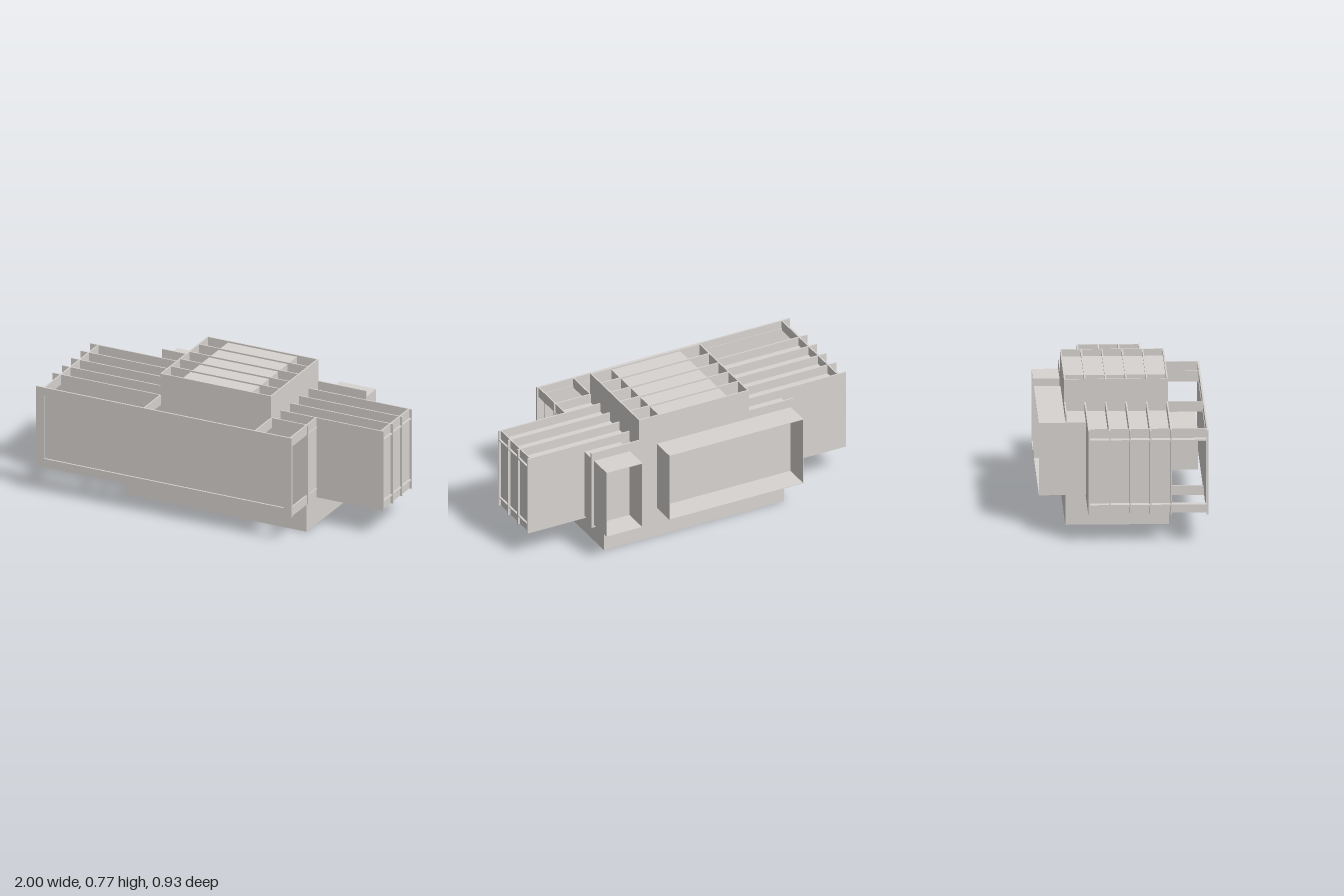
import * as THREE from 'three';

export function createModel() {
  const group = new THREE.Group();
  const grey = new THREE.MeshStandardMaterial({ color: 0xd8d4d1 });
  grey.name = 'warm grey';
  const T = 0.008; // sheet thickness
  const TOP = 0.645, BOT = 0.165, CEIL = 0.592, FLOOR = 0.214;

  function slab(name, x0, x1, y0, y1, z0, z1) {
    const m = new THREE.Mesh(new THREE.BoxGeometry(x1 - x0, y1 - y0, z1 - z0), grey);
    m.position.set((x0 + x1) / 2, (y0 + y1) / 2, (z0 + z1) / 2);
    m.name = name;
    group.add(m);
  }
  // thin sheets facing x, y or z, centred on the given coordinate
  const wallX = (n, x, y0, y1, z0, z1) => slab(n, x - T / 2, x + T / 2, y0, y1, z0, z1);
  const wallY = (n, y, x0, x1, z0, z1) => slab(n, x0, x1, y - T / 2, y + T / 2, z0, z1);
  const wallZ = (n, z, x0, x1, y0, y1) => slab(n, x0, x1, y0, y1, z - T / 2, z + T / 2);

  // front facade: frame with a shallow recessed panel
  const frame = new THREE.Shape();
  frame.moveTo(-1, BOT).lineTo(0.59, BOT).lineTo(0.59, TOP).lineTo(-1, TOP).closePath();
  const hole = new THREE.Path();
  hole.moveTo(-0.95, 0.215).lineTo(-0.95, 0.595).lineTo(0.54, 0.595).lineTo(0.54, 0.215).closePath();
  frame.holes.push(hole);
  const facade = new THREE.Mesh(
    new THREE.ExtrudeGeometry(frame, { depth: 0.01, bevelEnabled: false }), grey);
  facade.position.z = 0.452;
  facade.name = 'facadeFrame';
  group.add(facade);
  slab('facadePanel', -0.955, 0.545, 0.21, 0.6, 0.449, 0.452);

  // lengthwise fins of the main body
  wallZ('bodyFrontFin', 0.255, -1, 0.59, BOT, TOP);
  const fins = [0.141, 0.028, -0.085, -0.2];
  fins.forEach(z => wallZ('bodyFin', z, -1, 1, BOT, TOP));

  // slot floors, ceilings and end walls between the fins
  for (const y of [CEIL - T / 2, FLOOR + T / 2]) {
    wallY('bodyDeck', y, -0.998, 0.998, -0.2, 0.141);
    wallY('frontBayDeck', y, -0.998, 0.588, 0.141, 0.255);
    wallY('facadeEndLedge', y, -1, -0.95, 0.255, 0.455);
  }
  wallX('bodyEndWall', -0.95, BOT, TOP, -0.2, 0.255);
  wallX('bodyEndWall', 0.982, BOT, TOP, -0.2, 0.141);
  wallX('frontBayEndWall', 0.578, BOT, TOP, 0.141, 0.255);

  // webs that tie the facade to the body
  for (const x of [-0.95, -0.33, 0.36, 0.578]) wallX('upperWeb', x, 0.586, TOP, 0.255, 0.455);
  for (const x of [-0.95, -0.55, 0.578]) wallX('lowerWeb', x, BOT, 0.22, 0.255, 0.455);
  slab('hiddenBay', -0.195, 0.455, 0.22, 0.44, 0.255, 0.43);

  // upper tower with open fins and a raised deck
  const YT = 0.775;
  for (const x of [-0.326, 0.356]) wallX('upperTowerSide', x, 0.585, YT, -0.317, 0.259);
  for (const z of [0.255, ...fins, -0.313]) wallZ('upperTowerFin', z, -0.33, 0.36, 0.6, YT);
  slab('upperTowerDeck', -0.2, 0.23, 0.585, 0.766, -0.31, 0.25);
  wallY('upperTowerFloor', CEIL - T / 2, -0.33, 0.36, -0.313, 0.255);

  // lower tower, open underneath with fins
  for (const x of [-0.546, 0.576]) wallX('lowerTowerSide', x, 0, 0.22, -0.317, 0.259);
  for (const z of [0.255, ...fins, -0.313]) wallZ('lowerTowerFin', z, -0.55, 0.58, 0, 0.2);
  wallY('lowerTowerDeck', 0.051, -0.55, 0.58, -0.313, 0.255);

  // rear plate and two open rear boxes with thin walls
  wallZ('rearPlate', -0.313, -0.61, 0.66, BOT, TOP);
  const B = 0.003;
  for (const [x0, x1] of [[-0.593, 0.249], [0.418, 0.643]]) {
    for (const x of [x0, x1 - B]) slab('rearBoxSide', x, x + B, 0.18, 0.593, -0.465, -0.2);
    for (const y of [0.18, 0.59]) slab('rearBoxShelf', x0, x1, y, y + B, -0.465, -0.2);
  }

  return group;
}
